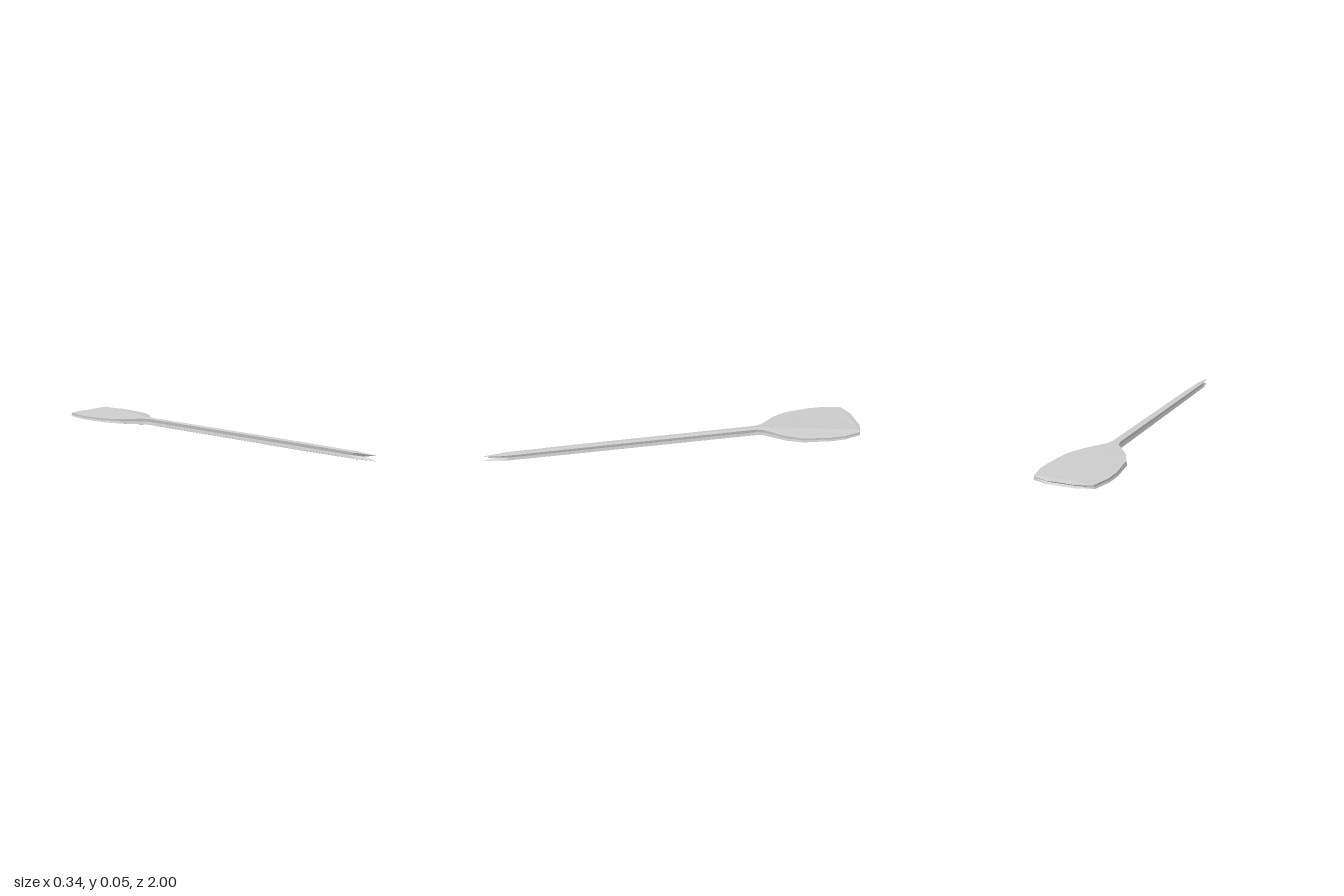
import * as THREE from 'three';

// Skins a row of cross-sections (lists of Vector3, listed from front to back).
function loft(rings, capFront, capBack) {
  const n = rings[0].length;
  const pos = [];
  const tri = (a, b, c) => pos.push(...a, ...b, ...c);
  for (let i = 0; i < rings.length - 1; i++) {
    for (let j = 0; j < n; j++) {
      const k = (j + 1) % n;
      const a = rings[i][j], b = rings[i][k], c = rings[i + 1][k], d = rings[i + 1][j];
      tri(a, d, b);
      tri(b, d, c);
    }
  }
  const first = rings[0], last = rings[rings.length - 1];
  for (let j = 0; j < n; j++) {
    const k = (j + 1) % n;
    if (capFront) tri(first[j], first[k], capFront);
    if (capBack) tri(last[k], last[j], capBack);
  }
  const g = new THREE.BufferGeometry();
  g.setAttribute('position', new THREE.Float32BufferAttribute(pos, 3));
  g.computeVertexNormals();
  return g;
}

// Eight-point section: crown, edges and grooved sides. Order: counterclockwise seen from +z.
function section({ z, w, crownX = 0, crown, top, bottom, keel, groove = 0.004, midZ = z }) {
  const mid = (top + bottom) / 2;
  const m = Math.max(w - groove, w * 0.6);
  return [
    new THREE.Vector3(crownX, crown, z),
    new THREE.Vector3(-w * 0.98, top, z),
    new THREE.Vector3(-m, mid, midZ),
    new THREE.Vector3(-w, bottom, z),
    new THREE.Vector3(0, keel, z),
    new THREE.Vector3(w, bottom, z),
    new THREE.Vector3(m, mid, midZ),
    new THREE.Vector3(w * 0.98, top, z),
  ];
}

export function createModel() {
  const group = new THREE.Group();
  group.name = 'paddle';
  const material = new THREE.MeshStandardMaterial({
    color: 0xcccccc, flatShading: true, side: THREE.DoubleSide,
  });
  const add = (name, geometry) => {
    const mesh = new THREE.Mesh(geometry, material);
    mesh.name = name;
    group.add(mesh);
  };

  // Section shared by the handle and the blade
  const neck = { z: -0.43, w: 0.021, crown: 0.045, top: 0.041, bottom: 0.007, keel: 0.002 };

  // Handle: slender bar ending in a split point
  const handle = [
    { z: 1.0, w: 0.003, crown: 0.033, top: 0.032, bottom: 0.007, keel: 0.006, midZ: 0.94 },
    { z: 0.9, w: 0.018, crown: 0.037, top: 0.034, bottom: 0.006, keel: 0.001, midZ: 0.88 },
    { z: 0.6, w: 0.02, crown: 0.04, top: 0.037, bottom: 0.006, keel: 0 },
    neck,
  ].map(section);
  add('handle', loft(handle, new THREE.Vector3(0, 0.02, 0.93), null));

  // Blade: thin shovel with a crown running diagonally to its far corner
  const blade = [
    neck,
    { z: -0.47, w: 0.032, crown: 0.045, top: 0.04, bottom: 0.008, keel: 0.002 },
    { z: -0.57, w: 0.112, crownX: 0.03, crown: 0.045, top: 0.036, bottom: 0.01, keel: 0.005 },
    { z: -0.65, w: 0.15, crownX: 0.05, crown: 0.045, top: 0.034, bottom: 0.012, keel: 0.007 },
    { z: -0.8, w: 0.17, crownX: 0.09, crown: 0.044, top: 0.033, bottom: 0.014, keel: 0.011 },
    { z: -0.88, w: 0.168, crownX: 0.11, crown: 0.044, top: 0.033, bottom: 0.015, keel: 0.013 },
    { z: -0.972, w: 0.145, crownX: 0.125, crown: 0.041, top: 0.034, bottom: 0.016, keel: 0.015 },
    { z: -1.0, w: 0.065, crownX: 0.03, crown: 0.033, top: 0.032, bottom: 0.018, keel: 0.017, midZ: -0.99 },
  ].map(section);
  add('blade', loft(blade, null, new THREE.Vector3(0, 0.025, -0.99)));

  return group;
}
